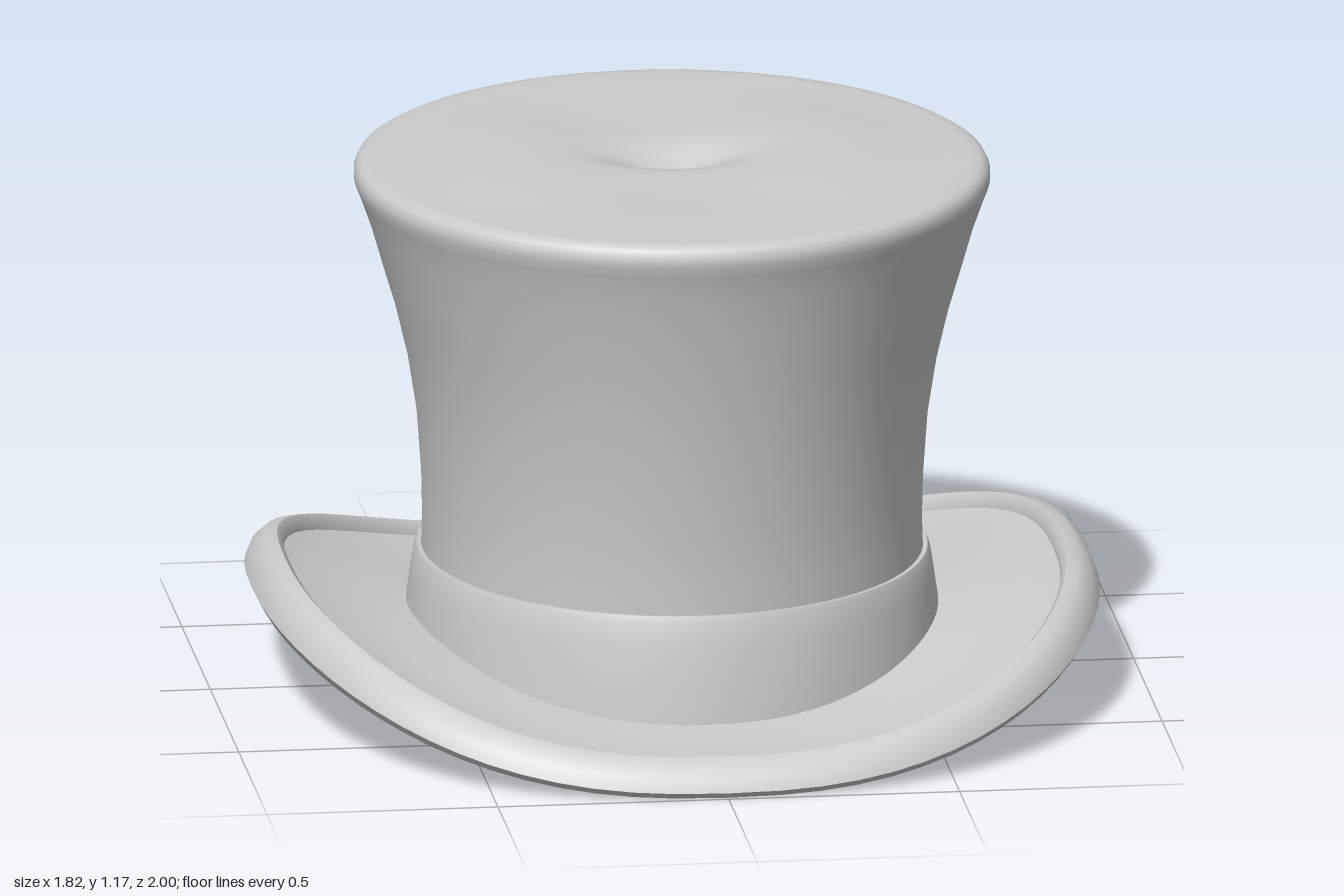
import * as THREE from 'three';
import { toCreasedNormals } from 'three/addons/utils/BufferGeometryUtils.js';

const SEG = 72;

// Skin a list of ring functions (angle -> [x, y, z]); rings run upward or outward-underneath.
function loft(rings) {
  const pos = [], idx = [];
  rings.forEach((ring, i) => {
    for (let j = 0; j < SEG; j++) {
      pos.push(...ring((j / SEG) * Math.PI * 2));
      if (i === rings.length - 1) continue;
      const a = i * SEG + j, b = i * SEG + (j + 1) % SEG;
      idx.push(a, a + SEG, b, b, a + SEG, b + SEG);
    }
  });
  const g = new THREE.BufferGeometry();
  g.setAttribute('position', new THREE.Float32BufferAttribute(pos, 3));
  g.setIndex(idx);
  g.computeVertexNormals();
  return g;
}

// Superellipse outline point.
function outline(t, rx, rz, n) {
  const p = (v) => Math.sign(v) * Math.pow(Math.abs(v), 2 / n);
  return [rx * p(Math.cos(t)), rz * p(Math.sin(t))];
}

// Plain elliptical ring at a fixed height.
const oval = ([rx, rz, y]) => (t) => [rx * Math.cos(t), y, rz * Math.sin(t)];

function addPart(group, name, geometry, flat = false) {
  const material = new THREE.MeshStandardMaterial({ color: 0xcccccc, flatShading: flat });
  const mesh = new THREE.Mesh(flat ? geometry : toCreasedNormals(geometry, 0.7), material);
  mesh.name = name;
  group.add(mesh);
}

export function createModel() {
  const hat = new THREE.Group();
  hat.name = 'topHat';

  // Brim cross-section: rx, rz, height at front/back, height at sides, squareness, curl power
  const brim = [
    [0.57, 0.67, 0.035, 0.038, 2.0, 2.5],
    [0.62, 0.74, 0.035, 0.050, 2.1, 2.5],
    [0.69, 0.81, 0.035, 0.085, 2.2, 2.5],
    [0.79, 0.89, 0.026, 0.142, 2.3, 2.5],
    [0.86, 0.96, 0.008, 0.186, 2.35, 2.5],
    [0.897, 0.988, 0.002, 0.202, 2.35, 2.5],
    [0.911, 1.00, 0.015, 0.228, 2.35, 2.5],
    [0.897, 0.987, 0.045, 0.265, 2.35, 2.5],
    [0.868, 0.963, 0.072, 0.290, 2.35, 2.5],
    [0.84, 0.940, 0.081, 0.293, 2.38, 2.5],
    [0.828, 0.928, 0.072, 0.280, 2.4, 2.5],
    [0.825, 0.925, 0.054, 0.258, 2.4, 2.6],
    [0.76, 0.85, 0.050, 0.225, 2.35, 2.8],
    [0.66, 0.73, 0.054, 0.190, 2.2, 2.9],
    [0.53, 0.59, 0.070, 0.165, 2.0, 2.9],
  ];
  addPart(hat, 'brim', loft(brim.map(([rx, rz, yF, yS, n, curl]) => (t) => {
    const w = Math.pow(Math.abs(outline(t, 1, 1, 2.35)[0]), curl); // sides curl upward
    const [x, z] = outline(t, rx, rz, n);
    return [x, yF + (yS - yF) * w, z];
  })));

  // Hat band, closing onto the crown at its top edge
  addPart(hat, 'band', loft([
    [0.585, 0.635, 0.045], [0.572, 0.622, 0.17], [0.562, 0.61, 0.24],
    [0.555, 0.602, 0.285], [0.549, 0.597, 0.298], [0.53, 0.58, 0.296],
  ].map(oval)));

  // Flaring crown with a rounded upper edge
  const side = [
    [0.54, 0.586, 0.26], [0.537, 0.588, 0.36], [0.539, 0.596, 0.46], [0.549, 0.612, 0.60],
    [0.568, 0.630, 0.72], [0.594, 0.650, 0.83], [0.624, 0.672, 0.93], [0.650, 0.693, 1.02],
    [0.673, 0.712, 1.085], [0.683, 0.722, 1.11], [0.684, 0.723, 1.13], [0.677, 0.716, 1.146],
    [0.664, 0.703, 1.154], [0.64, 0.68, 1.156],
  ].map(oval);
  // Gently wavy top with a pinched dent in the middle
  const topHeight = (x, z) => {
    const fade = Math.max(0, 1 - (x * x) / 0.41 - (z * z) / 0.4624);
    const swell = 0.03 * fade * Math.exp(-(((Math.abs(x) - 0.38) / 0.2) ** 2) - (z / 0.35) ** 2);
    const dent = 0.055 * Math.exp(-((x / 0.13) ** 2) - ((z + 0.03) / 0.08) ** 2);
    return 1.156 + swell - dent + 0.006 * fade * Math.sin(9 * x + 2) * Math.cos(11 * z);
  };
  const top = [];
  for (let k = 1; k <= 16; k++) {
    const s = 1 - k / 16;
    top.push((t) => {
      const x = 0.64 * s * Math.cos(t), z = 0.68 * s * Math.sin(t);
      return [x, topHeight(x, z), z];
    });
  }
  addPart(hat, 'crown', loft([...side, ...top]));

  // Lumpy crumpled hollow underneath, from its centre out to the brim's lip
  const hollow = [];
  for (let k = 0; k <= 14; k++) {
    const s = k / 14;
    hollow.push((t) => {
      const x = 0.57 * s * Math.cos(t), z = 0.67 * s * Math.sin(t);
      const wall = Math.min(1, (1 - s) * (3.6 + 1.2 * Math.sin(7 * t)));
      const lump = Math.sin(17 * x + 1.2) * Math.cos(14 * z - 0.6) + 0.5 * Math.sin(23 * z + 9 * x);
      const middle = 0.09 * Math.exp(-(x * x + (z + 0.1) ** 2) / 0.03);
      return [x, Math.max(0.02, 0.035 + wall * (0.10 + 0.035 * lump - middle)), z];
    });
  }
  addPart(hat, 'innerHollow', loft(hollow), true);

  return hat;
}
